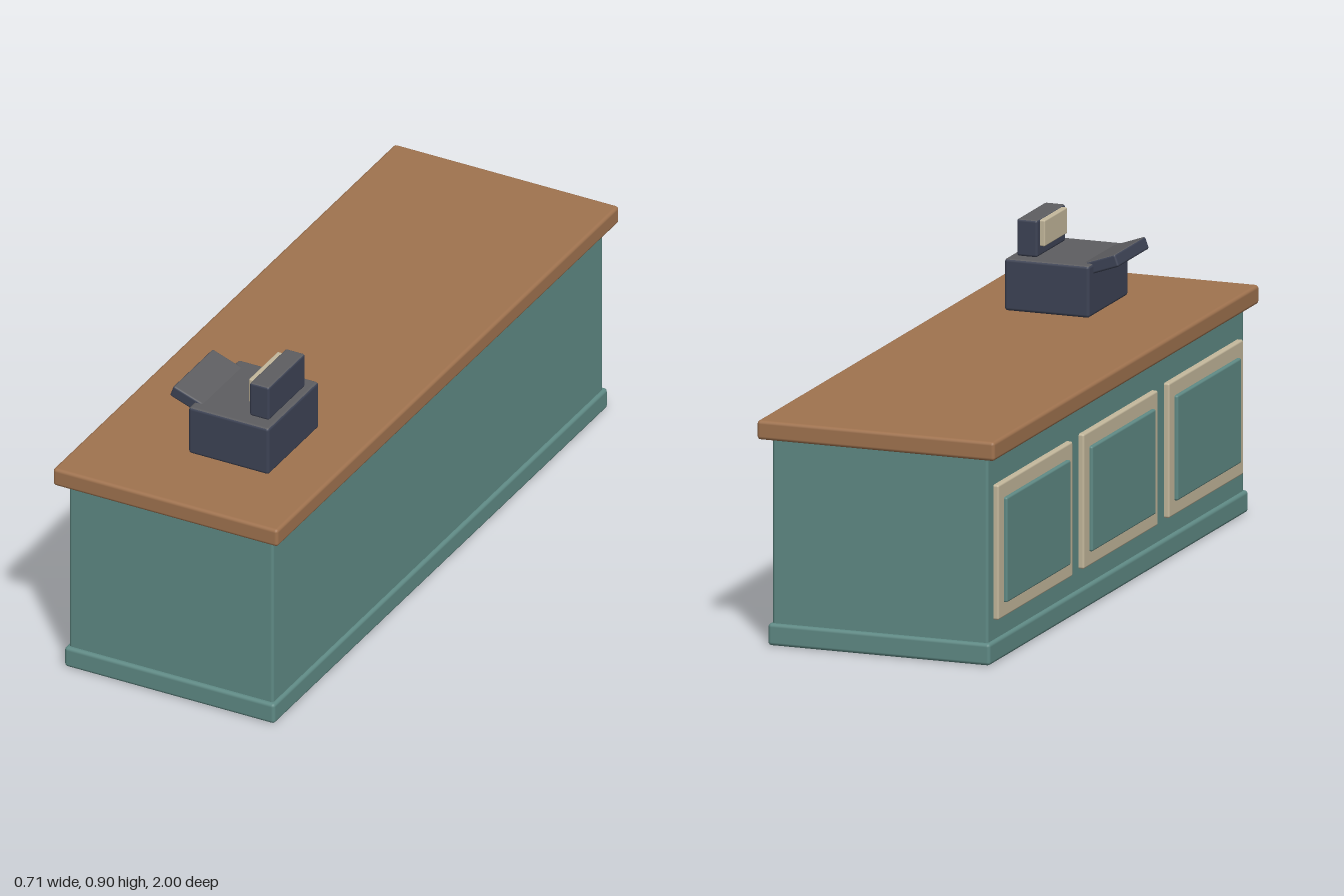
import * as THREE from 'three';
import { RoundedBoxGeometry } from 'three/addons/geometries/RoundedBoxGeometry.js';

const material = (name, color) => {
  const m = new THREE.MeshStandardMaterial({ color });
  m.name = name;
  return m;
};

export function createModel() {
  const teal = material('teal paint', 0x5f8a85);
  const wood = material('brown wood', 0xa0734f);
  const cream = material('cream trim', 0xc4b89c);
  const navy = material('dark navy casing', 0x3d4355);
  const grey = material('grey casing top', 0x5e5e61);
  // Casing faces in the order +x, -x, +y, -y, +z, -z
  const casing = [navy, navy, grey, navy, navy, navy];

  const group = new THREE.Group();
  group.name = 'shopCounter';

  // Rounded box given by its extents on each axis
  const block = (name, mat, [x0, x1], [y0, y1], [z0, z1], radius, parent = group) => {
    const geometry = new RoundedBoxGeometry(x1 - x0, y1 - y0, z1 - z0, 2, radius);
    const mesh = new THREE.Mesh(geometry, mat);
    mesh.name = name;
    mesh.position.set((x0 + x1) / 2, (y0 + y1) / 2, (z0 + z1) / 2);
    parent.add(mesh);
    return mesh;
  };

  // Counter
  block('plinth', teal, [-0.332, 0.332], [0, 0.063], [-0.976, 0.976], 0.01);
  block('cabinet', teal, [-0.322, 0.322], [0.04, 0.592], [-0.964, 0.964], 0.008);
  block('countertop', wood, [-0.355, 0.355], [0.592, 0.647], [-1, 1], 0.01);

  // Three framed panels along the clerk's side
  for (const z of [-0.643, 0, 0.643]) {
    block('panelFrame', cream, [-0.338, -0.31], [0.12, 0.506], [z - 0.28, z + 0.28], 0.006);
    block('panelInset', teal, [-0.348, -0.325], [0.162, 0.463], [z - 0.24, z + 0.24], 0.006);
  }

  // Cash register
  const register = new THREE.Group();
  register.name = 'cashRegister';
  group.add(register);
  block('registerBody', casing, [-0.063, 0.191], [0.647, 0.796], [0.452, 0.748], 0.009, register);
  block('displayHousing', casing, [0.108, 0.17], [0.796, 0.902], [0.493, 0.707], 0.007, register);
  block('displayScreen', cream, [0.094, 0.115], [0.824, 0.899], [0.515, 0.685], 0.004, register);

  // Sloping keyboard tray, its inner end sunk in the body
  const tray = block('keyTray', casing, [-0.08, 0.08], [-0.018, 0.018], [-0.116, 0.116], 0.006, register);
  tray.position.set(-0.058, 0.785, 0.6);
  tray.rotation.z = -0.34;

  return group;
}
